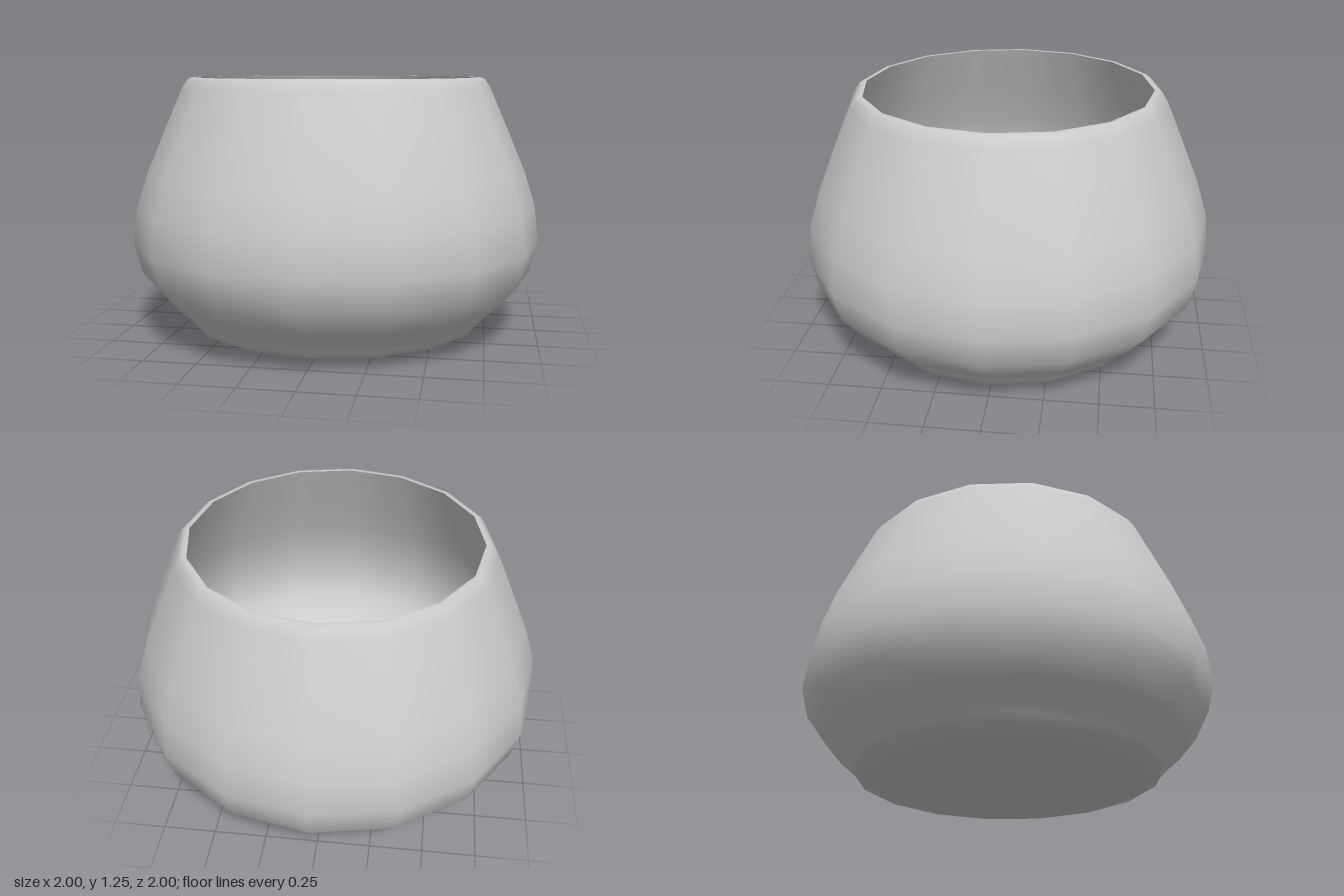
import * as THREE from 'three';

const SIDES = 16;

// Revolve a list of [radius, height] pairs around the y axis
function revolve(name, profile, material) {
  const points = profile.map(([r, y]) => new THREE.Vector2(r, y));
  const mesh = new THREE.Mesh(new THREE.LatheGeometry(points, SIDES), material);
  mesh.name = name;
  return mesh;
}

export function createModel() {
  const group = new THREE.Group();
  group.name = 'bowl';
  const material = new THREE.MeshStandardMaterial({ color: 0xcccccc });

  // Outside: shallow domed base, small foot, rounded belly and lip
  group.add(revolve('outerWall', [
    [0, 0.005], [0.43, 0.013], [0.64, 0.03], [0.73, 0.052],
    [0.75, 0.085], [0.79, 0.13], [0.87, 0.2], [0.963, 0.31],
    [1, 0.457], [0.98, 0.63], [0.925, 0.8], [0.84, 1.0],
    [0.755, 1.195], [0.727, 1.24], [0.71, 1.25], [0.69, 1.25],
  ], material));

  // Inside: wall parallel to the outside, meeting the lip at a sharp edge
  group.add(revolve('innerWall', [
    [0.69, 1.25], [0.72, 1.18], [0.8, 1.0], [0.885, 0.8],
    [0.94, 0.63], [0.96, 0.457], [0.925, 0.325], [0.84, 0.225],
    [0.76, 0.155], [0.7, 0.1], [0.62, 0.075], [0.43, 0.058], [0, 0.05],
  ], material));

  return group;
}
